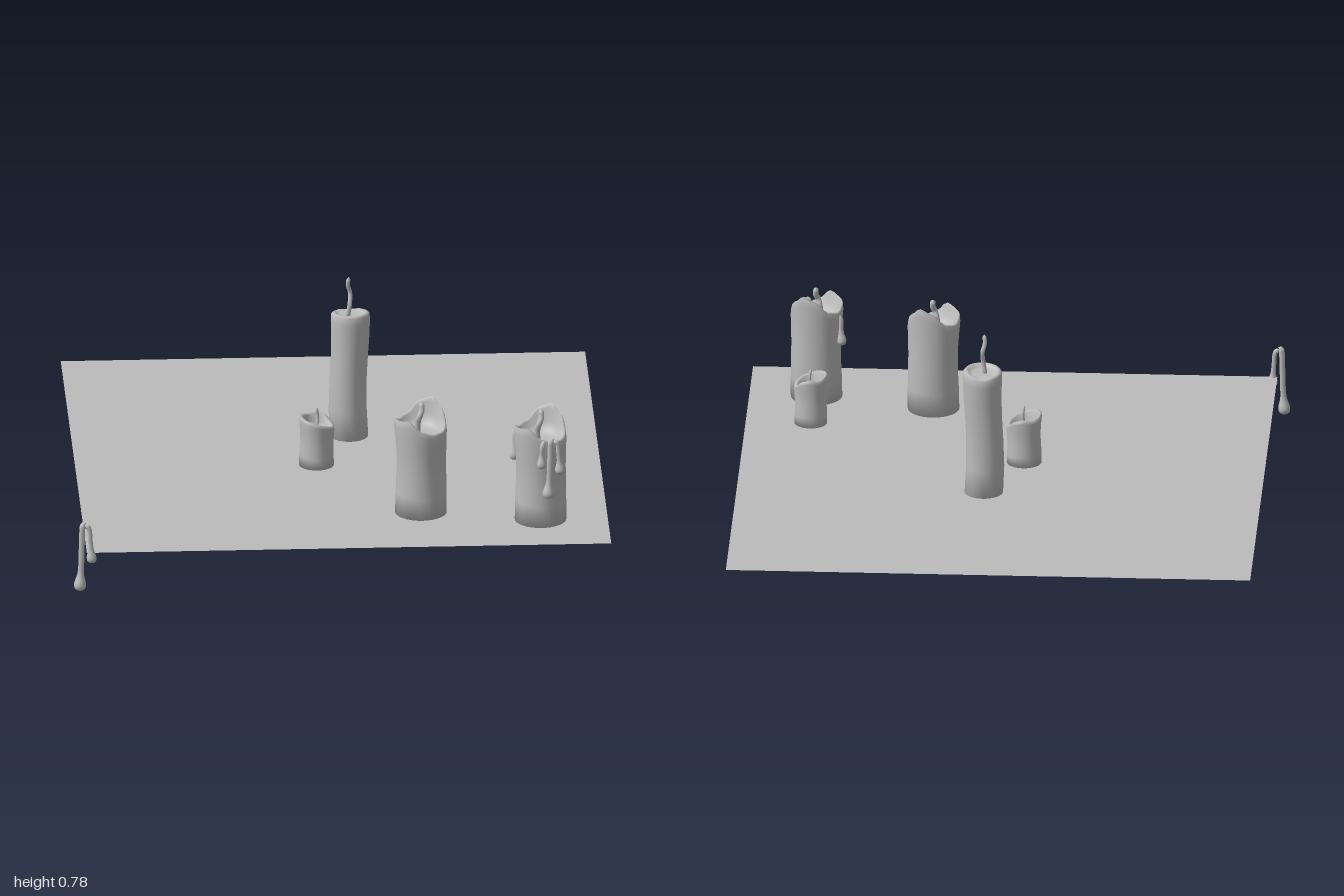
import * as THREE from 'three';
import { mergeVertices } from 'three/addons/utils/BufferGeometryUtils.js';

const BASE = 0.152;
const grey = new THREE.MeshStandardMaterial({ color: 0xbcbcbc });
grey.name = 'grey wax';
const greyFlat = new THREE.MeshStandardMaterial({ color: 0xbcbcbc, side: THREE.DoubleSide });
greyFlat.name = 'grey ground';

function mesh(name, geometry, material = grey) {
  const m = new THREE.Mesh(geometry, material);
  m.name = name;
  return m;
}

// Weld seams so the normals run smoothly all round
function smooth(geometry) {
  geometry.deleteAttribute('uv');
  geometry.deleteAttribute('normal');
  const g = mergeVertices(geometry, 1e-5);
  g.computeVertexNormals();
  return g;
}

// Rim height at an angle, blended between evenly spaced values (front, left side, back, right side)
function rimAt(rim, angle) {
  const n = rim.length;
  const t = ((angle / (Math.PI * 2)) * n + n) % n;
  const i = Math.floor(t) % n;
  const f = t - Math.floor(t);
  const s = f * f * (3 - 2 * f);
  return rim[i] * (1 - s) + rim[(i + 1) % n] * s;
}

// Wax body: outer wall rising to an uneven rim, then a melted basin
function waxBody({ radius, rim, floor, wall, lip, lean = 0 }) {
  const inner = 1 - wall;
  // [radius factor, level]: 0..1 climbs base to rim, 1..2 sinks rim to basin floor
  const steps = [[0, 0], [0.98, 0], [0.97, 0.22], [0.94, 0.45], [0.94, 0.62], [0.97, 0.8], [1, 0.93],
    [0.985, 0.985], [1 - wall * 0.5, 1], [inner, 1 + lip], [inner * 0.93, 1.6], [inner * 0.75, 1.93],
    [inner * 0.4, 2], [0, 2]];
  const g = new THREE.LatheGeometry(steps.map(([r, l]) => new THREE.Vector2(r * radius, l)), 36);
  const p = g.attributes.position;
  for (let i = 0; i < p.count; i++) {
    const x = p.getX(i), z = p.getZ(i), level = p.getY(i);
    const angle = Math.atan2(x, z);
    const top = rimAt(rim, angle);
    const y = level <= 1 ? BASE + (top - BASE) * level : top + (floor - top) * (level - 1);
    const h = Math.min(level, 1);
    const bump = 1 + 0.025 * Math.sin(angle * 3 + h * 4) * Math.sin(h * Math.PI);
    const shift = lean * Math.sin(h * Math.PI * 1.6);
    p.setXYZ(i, x * bump + shift, y, z * bump - shift * 0.6);
  }
  return smooth(g);
}

// Tube whose radius varies along a path
function taperedTube(points, radiusAt, segments = 20) {
  const curve = new THREE.CatmullRomCurve3(points.map(q => new THREE.Vector3(...q)));
  const sides = 10;
  const g = new THREE.TubeGeometry(curve, segments, 1, sides);
  const p = g.attributes.position, v = new THREE.Vector3();
  for (let i = 0; i < p.count; i++) {
    const t = Math.floor(i / (sides + 1)) / segments;
    const c = curve.getPointAt(t);
    v.fromBufferAttribute(p, i).sub(c).multiplyScalar(radiusAt(t)).add(c);
    p.setXYZ(i, v.x, v.y, v.z);
  }
  return smooth(g);
}

// Thin run of wax ending in a round bead
function drip(name, points, thin, bead) {
  const curve = new THREE.CatmullRomCurve3(points.map(q => new THREE.Vector3(...q)));
  const length = curve.getLength();
  return mesh(name, taperedTube(points, t => {
    const left = (1 - t) * length;
    const ball = Math.sqrt(Math.max(0, bead * bead - (left - bead) ** 2));
    const neck = thin + (bead - thin) * Math.exp(-(((left - bead) / (bead * 1.4)) ** 2));
    const start = Math.min(1, Math.sqrt(t / 0.06));
    return Math.max(0.0004, (left < bead ? ball : neck) * start);
  }, 36));
}

function wick(points, radius) {
  return mesh('wick', taperedTube(points, t => (t === 0 || t === 1 ? 0.0004 : radius * (1 - 0.15 * t)), 16));
}

// Long and short run side by side, hanging from one point
function dripPair() {
  const g = new THREE.Group();
  g.add(drip('longDrip', [[0.022, 0.27, -0.002], [0.012, 0.265, 0], [0.007, 0.2, 0], [0.004, 0.1, 0], [-0.002, 0, 0]], 0.011, 0.023));
  g.add(drip('shortDrip', [[0.018, 0.262, 0], [0.032, 0.25, 0], [0.038, 0.2, 0], [0.044, 0.11, 0]], 0.009, 0.019));
  return g;
}

function candle(name, x, z, shape, wickPoints, wickRadius) {
  const g = new THREE.Group();
  g.name = name;
  g.add(mesh('waxBody', waxBody(shape)), wick(wickPoints, wickRadius));
  g.position.set(x, 0, z);
  return g;
}

export function createModel() {
  const model = new THREE.Group();
  model.name = 'candles';

  // Ground sheet
  const ground = mesh('ground', new THREE.PlaneGeometry(1.95, 1.95), greyFlat);
  ground.rotation.x = -Math.PI / 2;
  ground.position.set(0.025, 0.154, -0.015);
  model.add(ground);

  // Tall candle
  const tallRim = [0.648, 0.648, 0.645, 0.638, 0.63, 0.636, 0.643, 0.647];
  model.add(candle('tallCandle', 0.082, -0.19,
    { radius: 0.073, rim: tallRim, floor: 0.632, wall: 0.25, lip: 0.1, lean: -0.005 },
    [[-0.006, 0.62, 0], [0.003, 0.68, 0.003], [0.004, 0.72, -0.008], [-0.004, 0.75, -0.002], [-0.001, 0.785, 0.004]], 0.009));

  // Two medium candles with a high back lip
  const mediumRim = [0.505, 0.49, 0.49, 0.505, 0.55, 0.583, 0.565, 0.52, 0.51, 0.53, 0.535, 0.545];
  const medium = { radius: 0.098, rim: mediumRim, floor: 0.475, wall: 0.14, lip: 0.15, lean: 0.002 };
  const mediumWick = [[-0.012, 0.46, 0], [-0.012, 0.51, 0.002], [-0.004, 0.54, 0.012], [0.003, 0.56, 0.004], [0.001, 0.59, -0.004]];
  const back = candle('mediumCandle', 0.31, 0.6, medium, mediumWick, 0.012);
  const front = candle('drippingCandle', 0.75, 0.695, medium, mediumWick, 0.012);
  model.add(back, front);

  // Wax runs on the front candle
  const runs = dripPair();
  runs.name = 'frontDrips';
  runs.position.set(0.025, 0.27, 0.095);
  runs.scale.y = 0.88;
  front.add(runs);
  front.add(drip('middleDrip', [[0.01, 0.5, 0.088], [0.002, 0.48, 0.099], [0, 0.44, 0.098], [-0.002, 0.39, 0.1]], 0.009, 0.017));
  front.add(drip('sideDrip', [[-0.075, 0.5, -0.035], [-0.092, 0.48, -0.04], [-0.093, 0.44, -0.04], [-0.096, 0.375, -0.042]], 0.009, 0.018));

  // Two small candles
  const smallRim = [0.335, 0.325, 0.315, 0.305, 0.315, 0.335, 0.345, 0.34, 0.345, 0.352, 0.35, 0.343];
  const small = { radius: 0.066, rim: smallRim, floor: 0.285, wall: 0.24, lip: 0.12 };
  const smallWick = [[0, 0.27, 0], [0.002, 0.31, 0.001], [0.004, 0.345, -0.003], [0, 0.38, 0.002]];
  model.add(candle('smallCandle', -0.053, 0.102, small, smallWick, 0.006));
  model.add(candle('smallSideCandle', 0.758, 0.437, { ...small, radius: 0.062 }, smallWick.map(([x, y, z]) => [x, y - 0.012, z]), 0.006));

  // Loose wax runs at the corner of the ground
  const loose = dripPair();
  loose.name = 'cornerDrips';
  loose.position.set(-0.975, 0.003, 0.96);
  model.add(loose);

  return model;
}
